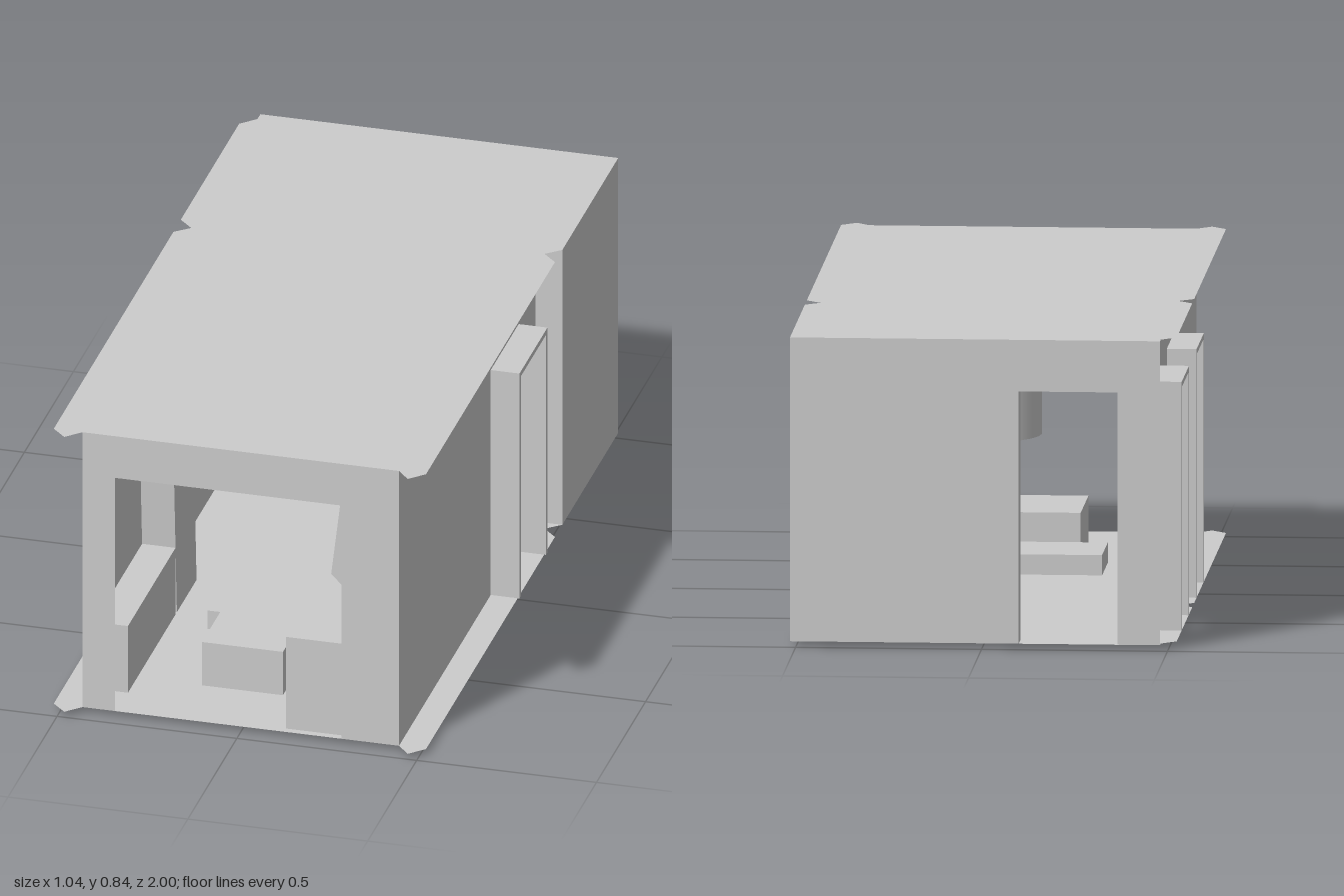
import * as THREE from 'three';

export function createModel() {
  const model = new THREE.Group();
  const mat = new THREE.MeshStandardMaterial({ color: 0xcccccc, side: THREE.DoubleSide, flatShading: true });
  const smooth = new THREE.MeshStandardMaterial({ color: 0xcccccc });
  const FLOOR = 0.02, TOP = 0.845;

  function add(name, geo, x = 0, y = 0, z = 0, material = mat) {
    const mesh = new THREE.Mesh(geo, material);
    mesh.name = name;
    mesh.position.set(x, y, z);
    model.add(mesh);
    return mesh;
  }
  const outline = pts => new THREE.Shape(pts.map(p => new THREE.Vector2(...p)));
  // Box given by its limits
  function box(name, x0, x1, y0, y1, z0, z1) {
    return add(name, new THREE.BoxGeometry(x1 - x0, y1 - y0, z1 - z0),
      (x0 + x1) / 2, (y0 + y1) / 2, (z0 + z1) / 2);
  }
  // Upright wall from a to b, with doorways [from, to, top] reaching the floor
  function wallShape(a, b, doors = []) {
    const pts = [[a, TOP], [a, FLOOR]];
    for (const [d0, d1, h] of doors) pts.push([d0, FLOOR], [d0, h], [d1, h], [d1, FLOOR]);
    pts.push([b, FLOOR], [b, TOP]);
    return new THREE.ShapeGeometry(outline(pts));
  }
  const wallAcross = (name, a, b, z, doors) => add(name, wallShape(a, b, doors), 0, 0, z);
  const wallAlong = (name, a, b, x, doors) =>
    add(name, wallShape(a, b, doors).rotateY(-Math.PI / 2), x);

  // Floor and ceiling sheets with notched edges and pointed front corners
  const plan = [
    [-0.48, -1], [0.515, -1], [0.515, -0.43], [0.475, -0.395], [0.515, -0.355],
    [0.515, 0.96], [0.475, 1], [0.44, 0.96], [-0.44, 0.96], [-0.48, 1], [-0.52, 0.96],
    [-0.52, -0.26], [-0.48, -0.295], [-0.52, -0.335], [-0.52, -0.93], [-0.48, -0.97]
  ];
  for (const [name, y] of [['floor', FLOOR], ['ceiling', TOP]])
    add(name, new THREE.ShapeGeometry(outline(plan)).rotateX(Math.PI / 2), 0, y);

  // Walls
  wallAcross('frontWall', -0.44, 0.44, 0.96, [[-0.35, 0.28, 0.72]]);
  wallAcross('backWall', -0.48, 0.515, -1, [[-0.37, -0.1, 0.705]]);
  wallAlong('rightSideWall', -0.43, 0.96, 0.44, [[-0.24, 0.01, 0.68]]);
  wallAlong('rearSideWall', -1, -0.43, 0.515);
  wallAcross('sideWallReturn', 0.44, 0.515, -0.43);
  wallAlong('leftSideWall', -0.95, 0.96, -0.44, [[-0.72, -0.48, 0.68], [-0.15, 0.09, 0.68]]);

  // Door surrounds: deep open-bottomed frames
  function frameGeometry(a, b, h, depth, t = 0.015) {
    const pts = [[a, FLOOR], [a + t, FLOOR], [a + t, h - t], [b - t, h - t],
      [b - t, FLOOR], [b, FLOOR], [b, h], [a, h]];
    return new THREE.ExtrudeGeometry(outline(pts), { depth, bevelEnabled: false });
  }
  for (const [a, b, x] of [[-0.26, 0.025, 0.52], [-0.74, -0.46, -0.44], [-0.17, 0.11, -0.44]])
    add('doorFrame', frameGeometry(a, b, 0.695, 0.08).rotateY(-Math.PI / 2), x);
  add('backDoorFrame', frameGeometry(-0.38, -0.085, 0.72, 0.07), 0, 0, -0.998);

  // Left side: bench and slightly tilted locker
  box('bench', -0.438, -0.345, FLOOR, 0.22, 0.36, 0.845);
  const locker = box('locker', -0.438, -0.345, 0.01, 0.43, 0.16, 0.36);
  locker.rotation.x = 0.07;

  // Right side: cabinet, low steps and slanted wall unit
  box('cabinet', 0.12, 0.438, FLOOR, 0.295, 0.45, 0.94);
  box('lowSeat', -0.165, 0.06, FLOOR, 0.15, 0.45, 0.75);
  box('lowStep', -0.24, 0.075, FLOOR, 0.075, 0.2, 0.42);
  const unit = outline([[0.438, 0.44], [0.275, 0.44], [0.235, 0.48], [0.26, 0.69], [0.28, 0.71], [0.438, 0.71]]);
  add('slantedWallUnit', new THREE.ExtrudeGeometry(unit, { depth: 0.4, bevelEnabled: false }), 0, 0, 0.5);

  // Rear work area: console with slanted side, counter and overhead drum
  box('console', -0.025, 0.225, FLOOR, 0.375, -0.72, -0.5);
  const side = outline([[0.065, -0.33], [0.025, -0.45], [0.3, -0.45], [0.3, -0.33]]);
  add('counter', new THREE.ExtrudeGeometry(side, { depth: 0.265, bevelEnabled: false })
    .rotateX(Math.PI / 2), 0, 0.285);
  add('overheadDrum', new THREE.CylinderGeometry(0.165, 0.165, TOP - 0.51, 24), 0.04, (TOP + 0.505) / 2, -0.47, smooth);

  return model;
}
